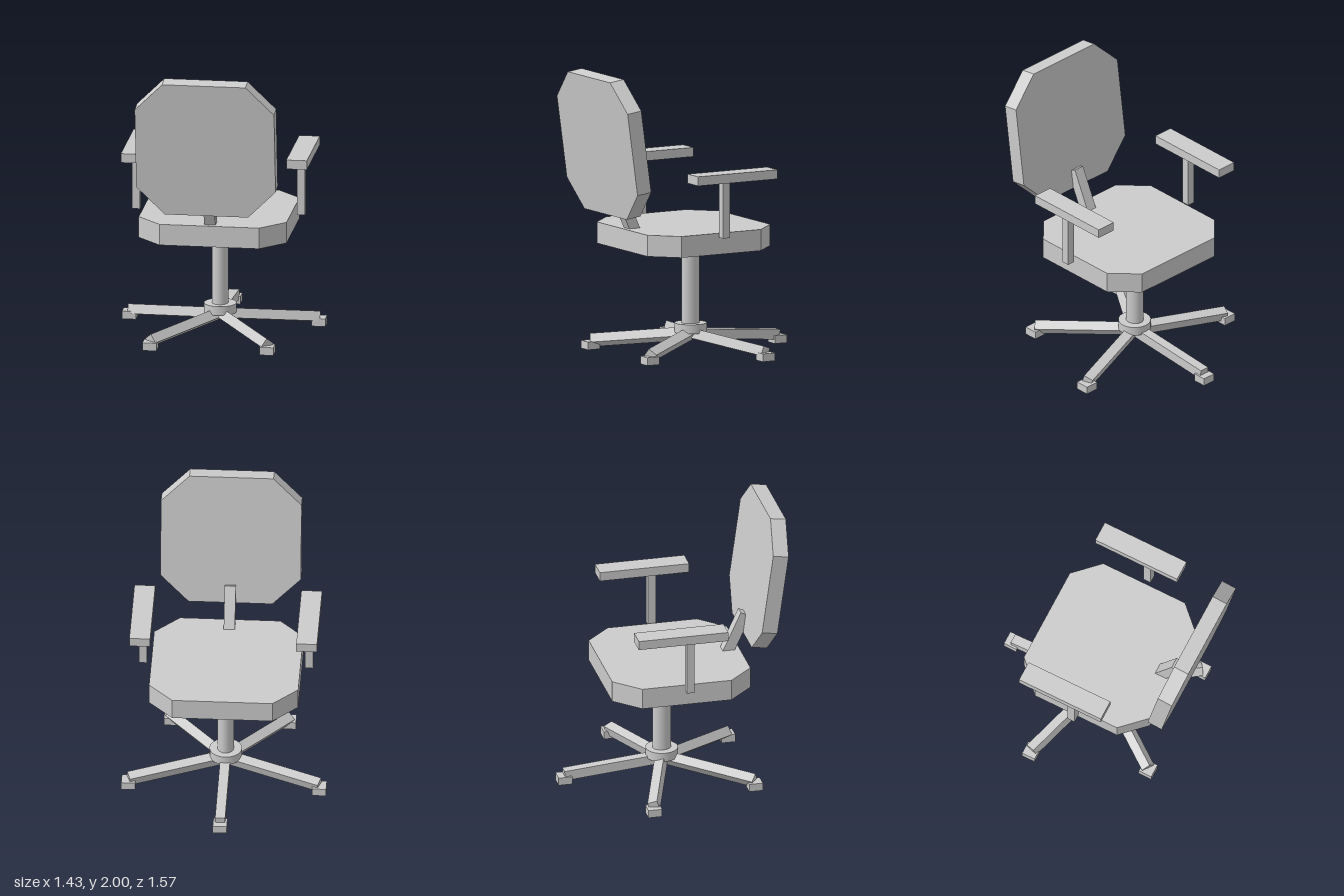
import * as THREE from 'three';

const grey = new THREE.MeshStandardMaterial({ color: 0xcccccc });
grey.name = 'light grey';

const UP = new THREE.Vector3(0, 1, 0);
const AXIS_Z = -0.035; // the column stands a little off centre

export function createModel() {
  const chair = new THREE.Group();
  chair.name = 'officeChair';

  const add = (name, geometry, x, y, z) => {
    const mesh = new THREE.Mesh(geometry, grey);
    mesh.name = name;
    mesh.position.set(x, y, z);
    chair.add(mesh);
    return mesh;
  };
  const box = (name, w, h, d, x, y, z) => add(name, new THREE.BoxGeometry(w, h, d), x, y, z);

  // Square bar swung from upright onto the line a-b
  const bar = (name, a, b, size) => {
    const dir = b.clone().sub(a);
    const mid = a.clone().add(b).multiplyScalar(0.5);
    const mesh = box(name, size, dir.length(), size, mid.x, mid.y, mid.z);
    mesh.quaternion.setFromUnitVectors(UP, dir.normalize());
    return mesh;
  };

  // Rectangular slab with cut corners, centred on its origin, facing z
  const cutSlab = (w, h, depth, cutX, cutY) => {
    const x = w / 2, y = h / 2;
    const points = [
      [x, -y + cutY], [x, y - cutY], [x - cutX, y], [-x + cutX, y],
      [-x, y - cutY], [-x, -y + cutY], [-x + cutX, -y], [x - cutX, -y],
    ].map(([px, py]) => new THREE.Vector2(px, py));
    return new THREE.ExtrudeGeometry(new THREE.Shape(points), { depth, bevelEnabled: false })
      .translate(0, 0, -depth / 2);
  };

  // Seat, backrest and the bracket between them
  add('seat', cutSlab(1.04, 0.99, 0.15, 0.17, 0.175).rotateX(-Math.PI / 2), 0, 0.825, 0.022);
  add('backrest', cutSlab(0.98, 0.985, 0.111, 0.197, 0.2), 0, 1.507, 0.662).rotation.x = 0.137;
  bar('backBracket', new THREE.Vector3(0, 0.83, 0.405), new THREE.Vector3(0, 1.164, 0.559), 0.078);

  // Armrests
  for (const [side, s] of [['left', 1], ['right', -1]]) {
    box(side + 'ArmPad', 0.145, 0.065, 0.64, s * 0.582, 1.302, -0.035);
    box(side + 'ArmPost', 0.056, 0.4, 0.056, s * 0.58, 1.075, 0.028);
  }

  // Seat plate, column and hub
  box('seatPlate', 0.41, 0.04, 0.41, 0, 0.74, AXIS_Z);
  add('column', new THREE.CylinderGeometry(0.065, 0.065, 0.6, 20), 0, 0.44, AXIS_Z).scale.x = 0.88;
  add('hub', new THREE.CylinderGeometry(0.114, 0.114, 0.065, 20), 0, 0.1625, AXIS_Z);

  // Five-spoke base with block feet
  for (let i = 0; i < 5; i++) {
    const a = (i * 2 * Math.PI) / 5;
    const x = 0.7 * Math.sin(a), z = AXIS_Z - 0.7 * Math.cos(a);
    bar('baseLeg' + (i + 1), new THREE.Vector3(0, 0.12, AXIS_Z), new THREE.Vector3(x, 0.06, z), 0.07);
    box('foot' + (i + 1), 0.098, 0.056, 0.098, x, 0.028, z);
  }

  return chair;
}
